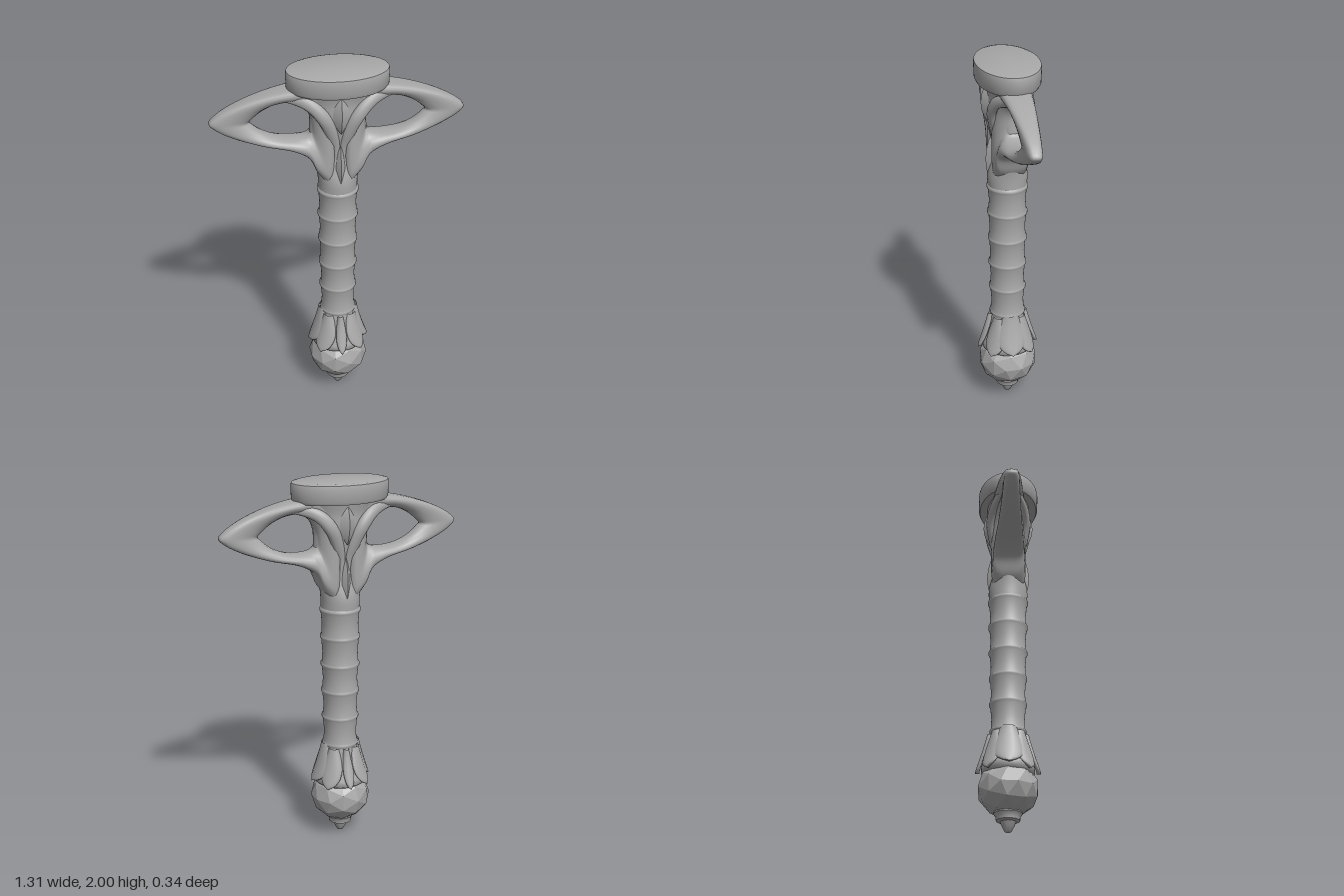
import * as THREE from 'three';
import { toCreasedNormals } from 'three/addons/utils/BufferGeometryUtils.js';

const V = (x, y, z = 0) => new THREE.Vector3(x, y, z);

// Surface from a rule fn(u, v) -> Vector3; u and v may wrap around.
function surface(fn, nu, nv, wrapU, wrapV) {
  const cu = wrapU ? nu : nu + 1, cv = wrapV ? nv : nv + 1;
  const pos = [], idx = [];
  for (let i = 0; i < cu; i++)
    for (let j = 0; j < cv; j++) pos.push(...fn(i / nu, j / nv).toArray());
  for (let i = 0; i < nu; i++)
    for (let j = 0; j < nv; j++) {
      const i2 = (i + 1) % cu, j2 = (j + 1) % cv;
      const a = i * cv + j, b = i2 * cv + j, c = i2 * cv + j2, d = i * cv + j2;
      idx.push(a, b, c, a, c, d);
    }
  const g = new THREE.BufferGeometry();
  g.setAttribute('position', new THREE.Float32BufferAttribute(pos, 3));
  g.setIndex(idx);
  g.computeVertexNormals();
  return g;
}

const lathe = (pts, n = 40) =>
  new THREE.LatheGeometry(pts.map(([r, y]) => new THREE.Vector2(r, y)), n);

export function createModel() {
  const model = new THREE.Group();
  const metal = new THREE.MeshStandardMaterial({ color: 0xa8a8a8, side: THREE.DoubleSide });
  metal.name = 'grey metal';
  const add = (name, geo) => {
    const m = new THREE.Mesh(geo, metal);
    m.name = name;
    model.add(m);
    return m;
  };

  // Oval cap, slightly domed
  const cap = lathe([[0, 1.89], [0.95, 1.89], [0.99, 1.905], [1, 1.975], [0.985, 1.99], [0.9, 1.996], [0, 2]], 56);
  cap.scale(0.264, 1, 0.168);
  add('cap', toCreasedNormals(cap, 0.6));

  // Throat: oval sections [y, half width, half depth]
  const sections = new THREE.CatmullRomCurve3([
    [1.28, 0.102, 0.102], [1.38, 0.105, 0.106], [1.48, 0.122, 0.084], [1.57, 0.15, 0.075],
    [1.66, 0.148, 0.09], [1.76, 0.148, 0.108], [1.83, 0.175, 0.108], [1.9, 0.225, 0.12],
  ].map(([y, rx, rz]) => V(rx, y, rz)));
  add('throat', surface((u, v) => {
    const s = sections.getPoint(u), a = v * Math.PI * 2;
    return V(s.x * Math.cos(a), s.y, s.z * Math.sin(a));
  }, 32, 40, false, true));

  // Guard loops: a tapered section swept between an outer and an inner outline
  const outer = new THREE.CatmullRomCurve3([
    [0.04, 1.36], [0.108, 1.42], [0.155, 1.515], [0.24, 1.565], [0.4, 1.605], [0.54, 1.655],
    [0.63, 1.705], [0.655, 1.735], [0.625, 1.77], [0.54, 1.82], [0.4, 1.872], [0.25, 1.905],
    [0.1, 1.92], [0.03, 1.75], [0.02, 1.55],
  ].map(([x, y]) => V(x, y)), true);
  const inner = new THREE.CatmullRomCurve3([
    [0.142, 1.67], [0.148, 1.655], [0.165, 1.638], [0.21, 1.627], [0.3, 1.634], [0.38, 1.667],
    [0.435, 1.712], [0.45, 1.73], [0.435, 1.75], [0.38, 1.795], [0.31, 1.826], [0.24, 1.832],
    [0.185, 1.806], [0.155, 1.765], [0.143, 1.715],
  ].map(([x, y]) => V(x, y)), true);
  const depth = x => 0.036 + 0.066 * Math.pow(Math.max(0, 1 - x / 0.66), 1.1);
  for (const side of [1, -1])
    add(side > 0 ? 'leftGuardLoop' : 'rightGuardLoop', surface((u, v) => {
      const a = v * Math.PI * 2, o = outer.getPoint(u), i = inner.getPoint(u);
      const p = o.lerp(i, Math.pow((1 - Math.cos(a)) / 2, 1.5));
      const s = Math.sin(a);
      p.z = Math.sign(s) * Math.pow(Math.abs(s), 0.8) * depth(p.x);
      p.x *= side;
      return p;
    }, 90, 18, true, true));

  // Branching ribs, central bud and lower thorn on both faces
  for (const face of [1, -1]) {
    const label = face > 0 ? 'front' : 'back';
    for (const side of [1, -1]) {
      const path = new THREE.CatmullRomCurve3([
        V(0.012, 1.44, 0.075), V(0.018, 1.56, 0.062), V(0.045, 1.67, 0.083),
        V(0.085, 1.76, 0.098), V(0.15, 1.83, 0.085), V(0.25, 1.862, 0.05), V(0.36, 1.862, 0.03)]);
      add(label + 'Rib', surface((u, v) => {
        const p = path.getPoint(u), t = path.getTangent(u), a = v * Math.PI * 2;
        const w = 0.012 + 0.024 * Math.sin(Math.PI * u), across = V(-t.y, t.x).normalize();
        p.addScaledVector(across, -w * Math.cos(a));
        p.z += 0.026 * Math.sin(a) * Math.sin(Math.PI * (0.12 + 0.86 * u));
        return p.multiply(V(side, 1, face));
      }, 28, 12, false, true));
    }
    // Spindles: [name, bottom, top, half width, half depth, centre z]
    for (const [name, y0, y1, w, d, z] of [
      ['Bud', 1.67, 1.89, 0.042, 0.035, 0.104], ['Thorn', 1.32, 1.6, 0.024, 0.03, 0.086]]) {
      const g = new THREE.SphereGeometry(1, 4, 8);
      const p = g.attributes.position;
      for (let i = 0; i < p.count; i++) {
        const y = p.getY(i), k = Math.sqrt(Math.max(0, 1 - y * y));
        p.setXYZ(i, p.getX(i) * k, y, p.getZ(i) * k);
      }
      g.scale(w, (y1 - y0) / 2, d);
      g.translate(0, (y0 + y1) / 2, z * face);
      add(label + name, toCreasedNormals(g, 0.6));
    }
  }

  // Grip with ringed joints
  const joints = [0.545, 0.7, 0.85, 1.0, 1.155, 1.305];
  const grip = [[0.09, 0.5]];
  joints.forEach((y, i) => {
    const r = 0.088 + 0.0024 * i;
    grip.push([r + 0.003, y - 0.02], [r + 0.01, y - 0.007], [r + 0.01, y + 0.004], [r + 0.003, y + 0.012]);
    if (i < 5) grip.push([r, y + 0.07]);
  });
  add('grip', lathe(grip));

  // Flared calyx under the petals
  add('calyx', lathe([[0.12, 0.305], [0.14, 0.32], [0.138, 0.35], [0.116, 0.41], [0.098, 0.47], [0.09, 0.55]]));

  // Petals: curved leaves with a raised midrib and thickness
  const petal = (angle, top, bottom, halfAngle, lift) => surface((u, v) => {
    const a = v * Math.PI * 2, y = top + (bottom - top) * u;
    const width = halfAngle * Math.pow(Math.sin(Math.PI * Math.min(1, 0.2 + 0.8 * Math.pow(u, 1.3))), 0.65);
    const f = THREE.MathUtils.clamp((0.55 - y) / 0.22, 0, 1);
    const r = 0.091 + 0.052 * Math.pow(f, 1.25) + lift * (0.35 + 0.65 * u)
      + 0.011 * Math.sin(a) - 0.012 * Math.cos(a) ** 2 * (1 - u);
    const q = angle + width * Math.cos(a);
    return V(r * Math.cos(q), y, r * Math.sin(q));
  }, 18, 14, false, true);
  for (let i = 0; i < 4; i++)
    add('diagonalPetal', petal(Math.PI / 4 + i * Math.PI / 2, 0.53, 0.312, 0.52, 0.012));
  for (const a of [0, Math.PI]) add('sidePetal', petal(a, 0.55, 0.33, 0.75, 0.016));
  for (const a of [Math.PI / 2, -Math.PI / 2]) add('narrowPetal', petal(a, 0.53, 0.315, 0.24, 0.016));

  // Faceted pommel ball with a squared-off base
  const ball = new THREE.IcosahedronGeometry(0.163, 1);
  ball.rotateY(0.3);
  ball.scale(1, 0.9, 1);
  ball.translate(0, 0.23, 0);
  const bp = ball.attributes.position;
  for (let i = 0; i < bp.count; i++) bp.setY(i, Math.max(bp.getY(i), 0.088));
  ball.computeVertexNormals();
  add('pommel', ball);

  // Pointed finial
  add('finial', toCreasedNormals(lathe([[0, 0], [0.018, 0.008], [0.032, 0.035], [0.042, 0.058],
    [0.062, 0.064], [0.064, 0.085], [0.075, 0.1], [0.07, 0.12]], 20), 0.7));

  return model;
}
